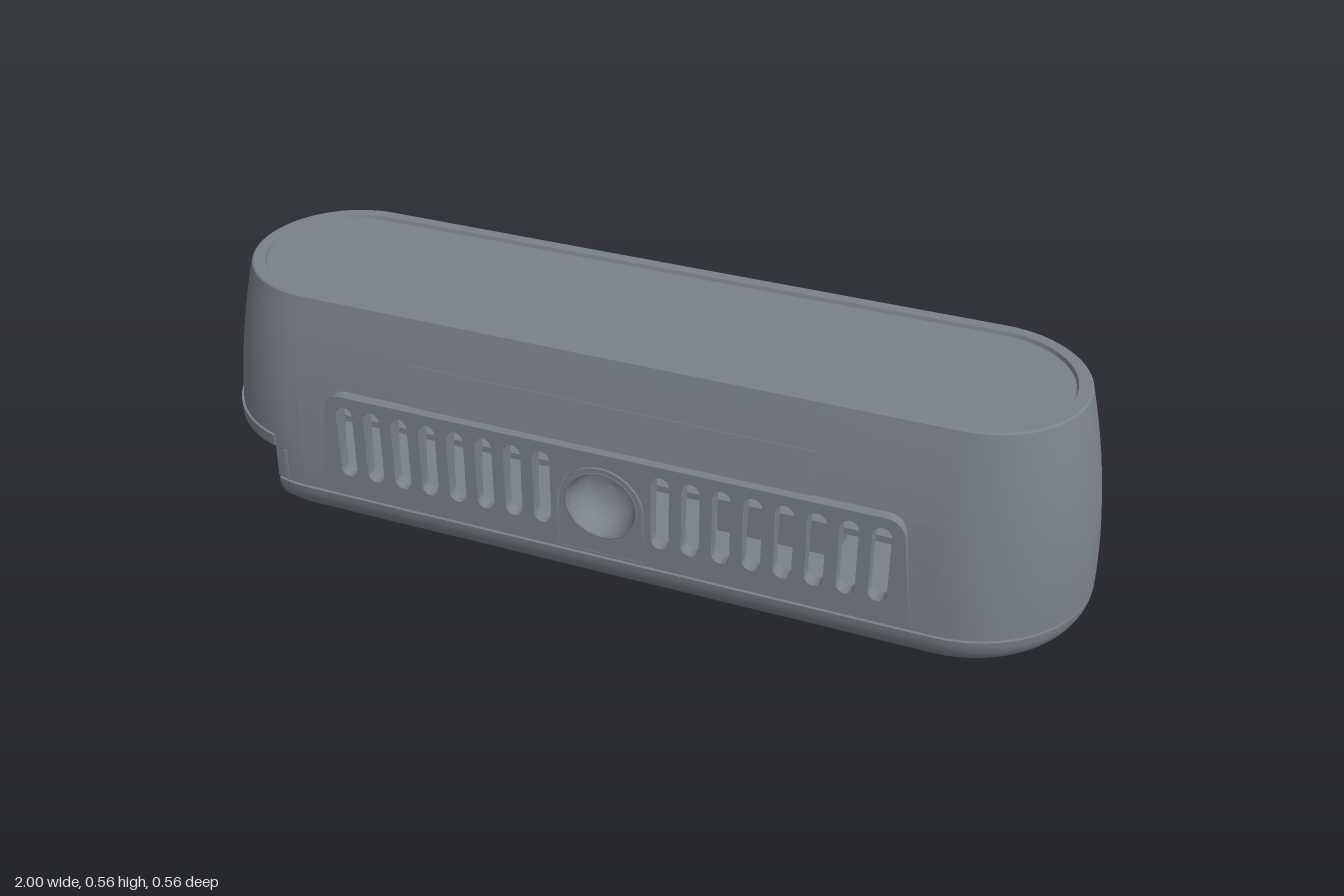
import * as THREE from 'three';
import { toCreasedNormals } from 'three/addons/utils/BufferGeometryUtils.js';
import { ParametricGeometry } from 'three/addons/geometries/ParametricGeometry.js';

const CX = 0.722;        // half distance between the two end-arc centres
const CUT = -0.8;        // plane of the notch at the right end
const NOTCH_Y = 0.182;
const PITCH = 0.067;     // vent spacing
const VENT_LOW = 0.14, VENT_HIGH = 0.35;
const VENT_ROWS = [0.21, 0.25, 0.3];

// Radius of the tapering shell, and of the rounded base below the seam
function radiusAt(y) {
  if (y < 0.095) {
    const c = 1 - y / 0.095;
    return 0.165 + 0.112 * Math.sqrt(Math.max(0, 1 - c * c));
  }
  return 0.277 - 0.064 * Math.pow(Math.max(0, y - 0.1) / 0.458, 1.9);
}

// Stadium outline as [x, z] points, optionally cut flat at the notch
const ARC = 32;
function ring(r, cut) {
  const pts = [];
  for (const side of [1, -1]) {
    for (let i = 0; i <= ARC; i++) {
      const a = -Math.PI / 2 + (i / ARC) * Math.PI + (side < 0 ? Math.PI : 0);
      const x = side * CX + r * Math.cos(a);
      pts.push([cut ? Math.max(x, CUT) : x, r * Math.sin(a)]);
    }
  }
  return pts;
}

// Skin a list of rows [radius, y, cut]; straight sides stay open at the vents
function loft(rows) {
  const pos = [];
  const rings = rows.map(([r, y, cut]) => ring(r, cut).map(([x, z]) => [x, y, z]));
  for (let k = 0; k < rings.length - 1; k++) {
    const a = rings[k], b = rings[k + 1], n = a.length;
    const vents = rows[k][1] >= VENT_LOW && rows[k + 1][1] <= VENT_HIGH;
    for (let i = 0; i < n; i++) {
      if (vents && i % (ARC + 1) === ARC) continue;
      const j = (i + 1) % n;
      pos.push(...a[i], ...b[i], ...a[j], ...a[j], ...b[i], ...b[j]);
    }
  }
  const g = new THREE.BufferGeometry();
  g.setAttribute('position', new THREE.Float32BufferAttribute(pos, 3));
  return toCreasedNormals(g, 0.5);
}

// Flat stadium plate at height y, with optional round holes [x, z, r]
function plate(r, y, cut, holes = []) {
  const s = new THREE.Shape(ring(r, cut).map(([x, z]) => new THREE.Vector2(x, z)));
  holes.forEach(([x, z, hr]) => s.holes.push(circle(x, z, hr)));
  return new THREE.ShapeGeometry(s).rotateX(Math.PI / 2).translate(0, y, 0);
}

function circle(x, y, r) {
  return new THREE.Path().absarc(x, y, r, 0, Math.PI * 2, true);
}

// Round-ended upright vent opening
function ventHole(x) {
  const w = 0.02, lo = 0.175, hi = 0.317;
  const p = new THREE.Path();
  p.absarc(x, hi, w, 0, Math.PI, false);
  p.absarc(x, lo, w, Math.PI, Math.PI * 2, false);
  p.closePath();
  return p;
}

// Doorway outline around the lens
function archPath(path, r, bottom) {
  path.moveTo(-r, bottom).lineTo(r, bottom).lineTo(r, 0.23);
  path.absarc(0, 0.23, r, 0, Math.PI, false);
  path.closePath();
  return path;
}

const extrude = (shape, depth, curveSegments = 8) =>
  new THREE.ExtrudeGeometry(shape, { depth, bevelEnabled: false, curveSegments });

export function createModel() {
  const group = new THREE.Group();
  const material = new THREE.MeshStandardMaterial({ color: 0x7a8189, side: THREE.DoubleSide });
  const add = (name, geometry, x = 0, y = 0, z = 0) => {
    const m = new THREE.Mesh(geometry, material);
    m.name = name;
    m.position.set(x, y, z);
    group.add(m);
    return m;
  };

  // Rounded base, with the seam groove above it
  const base = [];
  for (let i = 0; i <= 10; i++) {
    const y = 0.094 * (1 - Math.cos((i / 10) * Math.PI / 2));
    base.push([radiusAt(y), y, true]);
  }
  base.push([0.262, 0.094, true], [0.262, 0.1, true], [0.277, 0.1, true]);
  add('base', loft(base));
  add('floor', plate(0.262, 0.1, true));

  // Underside with two screw wells
  add('underside', plate(0.165, 0, true, [[-0.5, 0, 0.022], [0.5, 0, 0.022]]));
  for (const x of [-0.5, 0.5]) {
    add('screwWell', new THREE.CylinderGeometry(0.022, 0.022, 0.03, 20, 1, true), x, 0.015, 0);
    add('screwHead', new THREE.CylinderGeometry(0.022, 0.022, 0.004, 20), x, 0.03, 0);
  }

  // Tapering shell: stepped at the notch, with a raised rim at the top
  const row = (y, cut) => [radiusAt(y), y, cut];
  add('shell', loft([
    row(0.1, true), row(VENT_LOW, true), row(NOTCH_Y, true), row(NOTCH_Y, false),
    ...[...VENT_ROWS, VENT_HIGH, 0.4, 0.44, 0.48, 0.52, 0.555].map((y) => row(y, false)),
    [0.21, 0.558], [0.184, 0.558], [0.181, 0.55],
  ]));
  add('topPlate', plate(0.181, 0.55, false));

  // Lip around the overhang of the notch
  const lip = new THREE.Shape();
  lip.absarc(-CX, 0, 0.278, Math.PI * 0.59, Math.PI * 1.41, false);
  lip.closePath();
  add('notchLip', extrude(lip, 0.028, 32).rotateX(Math.PI / 2), 0, 0.21, 0);

  // Fittings on and beside the notch wall
  for (const z of [-0.12, 0.12]) {
    add('notchPin', new THREE.CylinderGeometry(0.014, 0.014, 0.01, 16).rotateZ(Math.PI / 2), CUT, 0.1, z);
  }
  add('notchFlange', new THREE.BoxGeometry(0.006, 0.08, 0.55), -0.77, 0.14, 0);

  // Vented side walls laid on the taper: front has a lens opening, back a full row
  const ventWall = (front) => {
    const mid = (VENT_LOW + VENT_HIGH) / 2, half = (VENT_HIGH - VENT_LOW) / 2;
    const side = [VENT_LOW, NOTCH_Y, ...VENT_ROWS, VENT_HIGH]
      .map((y) => new THREE.Vector2(CX + 0.002 * (1 - ((y - mid) / half) ** 2), y));
    const mirrored = side.map((p) => new THREE.Vector2(-p.x, p.y)).reverse();
    const s = new THREE.Shape([...side, ...mirrored]);
    for (let i = -10; i <= 10; i++) {
      if (!front || (Math.abs(i) >= 2 && Math.abs(i) <= 9)) s.holes.push(ventHole(i * PITCH));
    }
    if (front) s.holes.push(circle(0, 0.23, 0.078));
    const g = extrude(s, 0.022);
    const p = g.attributes.position;
    for (let i = 0; i < p.count; i++) p.setZ(i, radiusAt(p.getY(i)) - 0.022 + p.getZ(i));
    return toCreasedNormals(g, 0.5);
  };
  add('frontVentWall', ventWall(true));
  add('backVentWall', ventWall(false).rotateY(Math.PI));

  // Upright front panel standing proud of the taper
  const panel = new THREE.Shape();
  panel.moveTo(-0.675, 0.102).lineTo(0.675, 0.102).lineTo(0.65, 0.32);
  panel.quadraticCurveTo(0.645, 0.362, 0.605, 0.362);
  panel.lineTo(-0.605, 0.362);
  panel.quadraticCurveTo(-0.645, 0.362, -0.65, 0.32);
  panel.closePath();
  for (let i = 2; i <= 9; i++) panel.holes.push(ventHole(i * PITCH), ventHole(-i * PITCH));
  panel.holes.push(archPath(new THREE.Path(), 0.099, 0.107));
  add('frontPanel', extrude(panel, 0.03, 16), 0, 0, 0.248);

  // Thin slanted plate above the panel
  add('upperPlate', new THREE.BoxGeometry(0.9, 0.095, 0.003), 0, 0.409, 0.2485).rotation.x = -0.2;

  // Lens: arched surround set in a fine groove, ring and concave cup
  const arch = archPath(new THREE.Shape(), 0.094, 0.112);
  arch.holes.push(circle(0, 0.23, 0.08));
  add('lensSurround', extrude(arch, 0.029, 24), 0, 0, 0.248);
  add('lensRing', new THREE.TorusGeometry(0.081, 0.004, 8, 40), 0, 0.23, 0.274);
  const cup = [[0, 0.2], [0.03, 0.204], [0.055, 0.215], [0.068, 0.235], [0.078, 0.274]]
    .map(([r, z]) => new THREE.Vector2(r, z));
  add('lensCup', new THREE.LatheGeometry(cup, 40).rotateX(Math.PI / 2), 0, 0.23, 0);

  // Round-ended latch wrapped over the back seam
  const latch = (u, v, target) => {
    const a = (v - 0.5) * Math.PI;
    const y = 0.092 + 0.034 * Math.sin(a);
    target.set((1 - 2 * u) * (0.16 + 0.034 * Math.cos(a)), y, -radiusAt(y) - 0.0025);
  };
  add('backLatch', new ParametricGeometry(latch, 2, 20));
  add('latchPin', new THREE.CylinderGeometry(0.008, 0.008, 0.006, 16).rotateX(Math.PI / 2), 0.07, 0.092, -0.279);

  // Inner parts glimpsed through the vents
  add('innerBar', new THREE.BoxGeometry(1.4, 0.11, 0.36), 0, 0.322, 0);
  add('innerShelf', new THREE.BoxGeometry(1.4, 0.015, 0.46), 0, 0.274, 0);
  add('innerBlock', new THREE.BoxGeometry(0.27, 0.17, 0.2), 0.335, 0.185, 0);

  return group;
}
